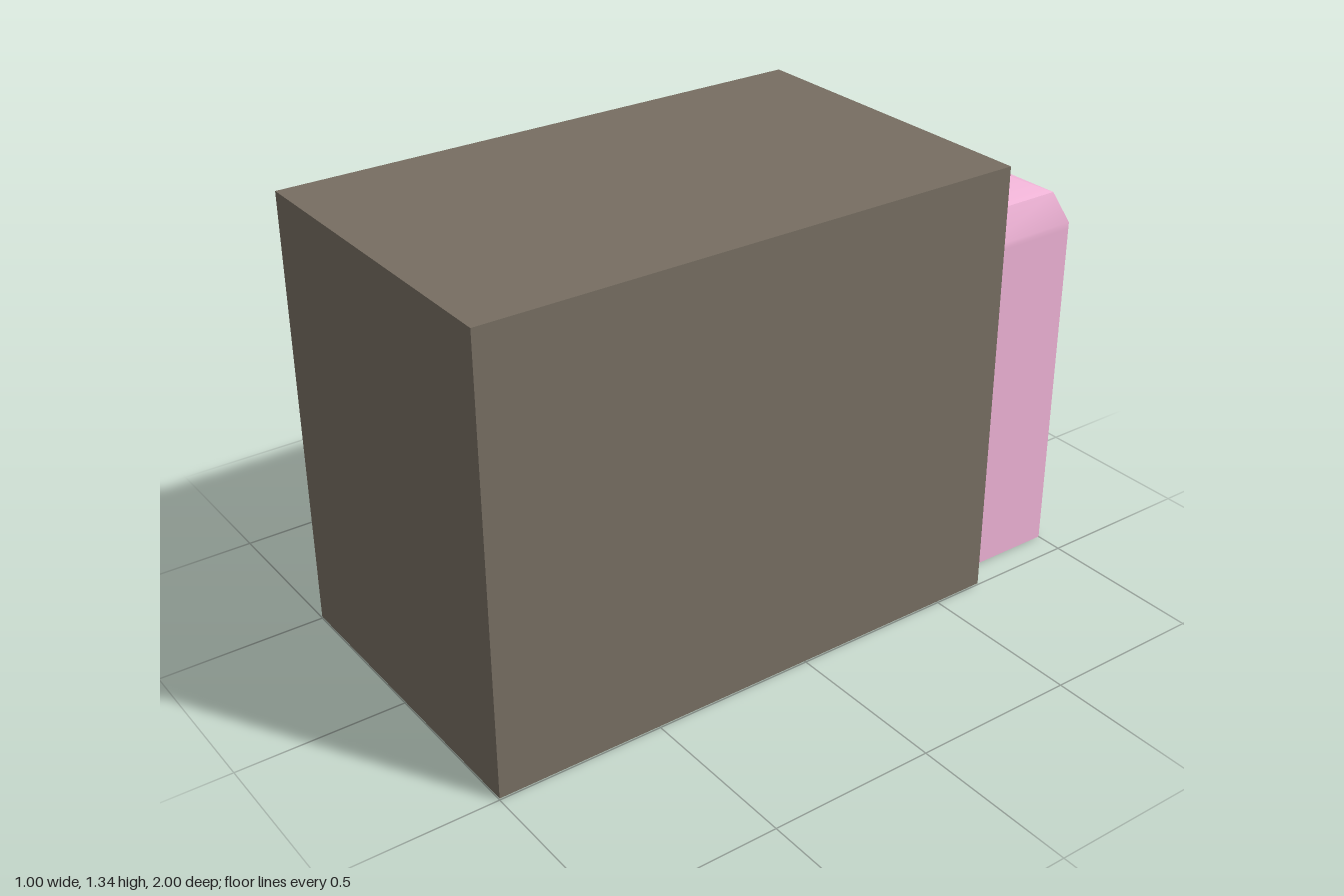
import * as THREE from 'three';
import { toCreasedNormals } from 'three/addons/utils/BufferGeometryUtils.js';

const brown = new THREE.MeshStandardMaterial({ color: 0x776e62 });
const pink = new THREE.MeshStandardMaterial({ color: 0xefb3d6 });

function add(parent, name, geometry, material, x, y, z) {
  const mesh = new THREE.Mesh(geometry, material);
  mesh.name = name;
  mesh.position.set(x, y, z);
  parent.add(mesh);
  return mesh;
}

// Closed solid through stacked rectangles [halfX, y, halfZ]
function stackGeometry(rings) {
  const pos = [], index = [];
  for (const [x, y, z] of rings) pos.push(-x, y, z, x, y, z, x, y, -z, -x, y, -z);
  for (let r = 0; r < rings.length - 1; r++) {
    for (let i = 0; i < 4; i++) {
      const a = r * 4 + i, b = r * 4 + (i + 1) % 4;
      index.push(a, b, b + 4, a, b + 4, a + 4);
    }
  }
  const t = (rings.length - 1) * 4;
  index.push(0, 2, 1, 0, 3, 2, t, t + 1, t + 2, t, t + 2, t + 3);
  const geo = new THREE.BufferGeometry();
  geo.setAttribute('position', new THREE.Float32BufferAttribute(pos, 3));
  geo.setIndex(index);
  return toCreasedNormals(geo, THREE.MathUtils.degToRad(32));
}

export function createModel() {
  const model = new THREE.Group();
  model.name = 'cabinetWithPost';

  // Plain rectangular cabinet
  add(model, 'cabinet', new THREE.BoxGeometry(1, 1.33, 1.66), brown, 0, 0.67, 0.17);

  // Two shallow rounded studs on the back, one above the other
  for (const [name, y] of [['upperStud', 1.03], ['lowerStud', 0.4]]) {
    const stud = add(model, name, new THREE.CapsuleGeometry(0.07, 0.24, 8, 24), brown, 0.215, y, -0.658);
    stud.scale.z = 0.25;
  }

  // Upright post behind the cabinet, with a bevelled top
  add(model, 'post', stackGeometry([
    [0.243, 0, 0.161],
    [0.243, 1.04, 0.161],
    [0.243, 1.06, 0.161],
    [0.207, 1.15, 0.124],
    [0.122, 1.188, 0.04],
  ]), pink, 0.173, 0, -0.839);

  return model;
}
